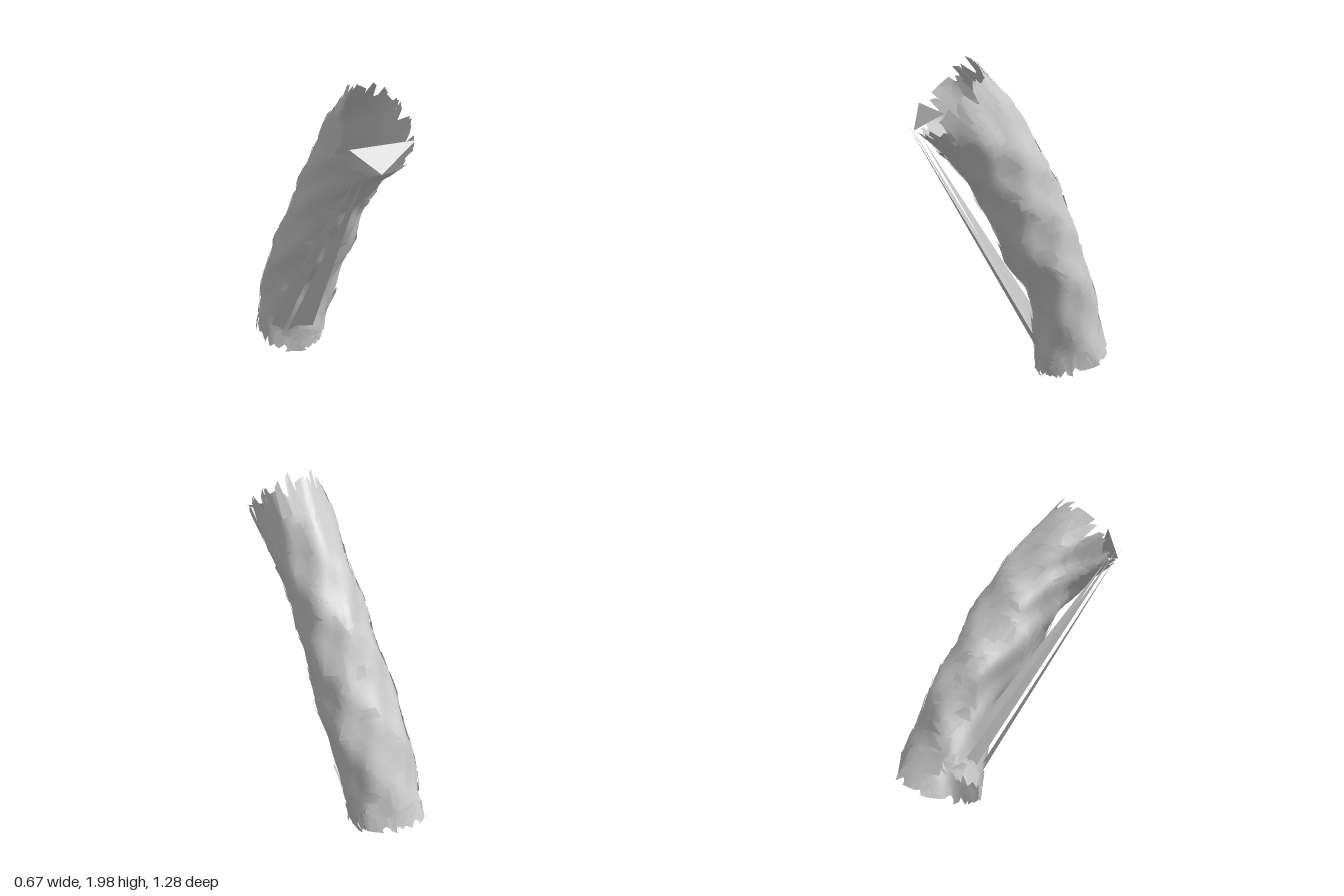
import * as THREE from 'three';

// Sections of the leaning trunk: front z, front y, back z, back y, centre x, half width
const SECTIONS = [
  [-0.19, 0.00, -0.63, 0.11, -0.12, 0.215],
  [-0.17, 0.24, -0.55, 0.37, -0.09, 0.21],
  [-0.10, 0.52, -0.47, 0.65, -0.05, 0.22],
  [0.05, 0.77, -0.37, 0.88, -0.015, 0.215],
  [0.17, 1.03, -0.25, 1.16, 0.025, 0.205],
  [0.27, 1.23, -0.13, 1.38, 0.055, 0.2],
  [0.41, 1.41, 0.03, 1.64, 0.09, 0.195],
  [0.63, 1.61, 0.31, 1.99, 0.135, 0.195],
];
const curve = (f) => new THREE.CatmullRomCurve3(SECTIONS.map(f));
const frontLine = curve((s) => new THREE.Vector3(s[4], s[1], s[0]));
const backLine = curve((s) => new THREE.Vector3(s[4], s[3], s[2]));
const widthLine = curve((s, i) => new THREE.Vector3(s[5], i, 0));

function seeded(seed) {
  return () => {
    seed = (seed * 16807) % 2147483647;
    return seed / 2147483647;
  };
}

// Point on the trunk at height t (0..1) and angle a (0 = front), pushed outward by off
function trunkPoint(t, a, off = 0) {
  t = Math.min(1, Math.max(0, t));
  const f = frontLine.getPoint(t), b = backLine.getPoint(t);
  const w = widthLine.getPoint(t).x;
  const lump = 0.012 * Math.sin(3 * a + 9 * t) * Math.sin(17 * t + a) + 0.006 * Math.sin(7 * a - 23 * t);
  const k = 1 + (lump + off) / 0.21;
  const p = f.clone().add(b).multiplyScalar(0.5);
  p.addScaledVector(f.sub(b), 0.5 * k * Math.cos(a));
  p.x += w * k * Math.sin(a);
  return p;
}

// Appends a grid of points (rows x cols quads) to the position and index lists
function addGrid(pos, idx, rows, cols, fn, closed = false) {
  const start = pos.length / 3, n = closed ? cols : cols + 1;
  for (let r = 0; r <= rows; r++)
    for (let c = 0; c < n; c++) pos.push(...fn(r / rows, c / cols, c).toArray());
  for (let r = 0; r < rows; r++)
    for (let c = 0; c < cols; c++) {
      const d = (c + 1) % n;
      const p = start + r * n + c, q = start + r * n + d;
      idx.push(p, q, q + n, p, q + n, p + n);
    }
}

function meshFrom(name, pos, idx, material) {
  const g = new THREE.BufferGeometry();
  g.setAttribute('position', new THREE.Float32BufferAttribute(pos, 3));
  g.setIndex(idx);
  g.computeVertexNormals();
  const m = new THREE.Mesh(g, material);
  m.name = name;
  return m;
}

export function createModel() {
  const group = new THREE.Group();
  group.name = 'hollowTrunk';
  const rand = seeded(4217);
  const material = new THREE.MeshStandardMaterial({ color: 0xcccccc, side: THREE.DoubleSide });

  // Hollow bark tube, open and splintered at both ends
  const cols = 44;
  const low = [], high = [];
  for (let c = 0; c < cols; c++) {
    low.push((c % 2 ? 0.02 : 0) + rand() * 0.012);
    high.push(1 - (c % 3 ? 0.02 : 0) - rand() * 0.04);
  }
  let pos = [], idx = [];
  addGrid(pos, idx, 48, cols, (v, u, c) => {
    // Only the end rows carry the splinters
    const t = v === 0 ? low[c] : v === 1 ? high[c] : 0.04 + v * 0.89;
    return trunkPoint(t, u * Math.PI * 2);
  }, true);
  group.add(meshFrom('barkTube', pos, idx, material));

  // Overlapping bark flakes: crooked patches that follow the tube
  pos = []; idx = [];
  for (let i = 0; i < 300; i++) {
    const t = rand() * 0.93 + 0.03, a = rand() * Math.PI * 2;
    const h = 0.03 + rand() * 0.06, w = 0.1 + rand() * 0.25;
    const skew = (rand() - 0.5) * 0.5, taper = rand() * 0.9;
    const off = rand() * 0.008, lift = (rand() - 0.4) * 0.014;
    addGrid(pos, idx, 3, 3, (v, u) => {
      const across = (u - 0.5) * 2 * w * (1 - taper * v);
      return trunkPoint(t + (v - 0.5) * h + (u - 0.5) * skew * 0.06, a + across + skew * v, off + lift * v);
    });
  }
  group.add(meshFrom('barkFlakes', pos, idx, material));

  // Pointed splinters standing out of both rims
  pos = []; idx = [];
  for (const top of [true, false])
    for (let i = 0; i < 20; i++) {
      const a = (i + rand() * 0.6) / 20 * Math.PI * 2;
      const w = 0.1 + rand() * 0.12, lean = (rand() - 0.5) * 0.3;
      const tip = rand() * 0.02, root = 0.08;
      const start = pos.length / 3;
      for (const [t, b] of [[root, -w], [root, w], [tip, lean + 0.07], [tip + 0.01, lean - 0.07]])
        pos.push(...trunkPoint(top ? 1 - t : t, a + b, 0.004).toArray());
      idx.push(start, start + 1, start + 2, start, start + 2, start + 3);
    }
  group.add(meshFrom('rimSplinters', pos, idx, material));

  // Long loose strips hanging from the upper lip to the foot
  pos = []; idx = [];
  const strips = [
    [[0.0, 1.63, 0.63], [-0.27, 0.18, -0.27], [-0.21, 0.15, -0.22]],
    [[0.03, 1.62, 0.64], [-0.19, 0.15, -0.2], [-0.03, 0.18, -0.18]],
    [[0.0, 1.55, 0.56], [-0.25, 0.3, -0.26], [-0.2, 0.2, -0.22]],
    // Flap across the front of the upper opening
    [[-0.03, 1.73, 0.56], [0.12, 1.61, 0.64], [0.33, 1.73, 0.54]],
  ];
  for (const tri of strips) {
    idx.push(pos.length / 3, pos.length / 3 + 1, pos.length / 3 + 2);
    pos.push(...tri.flat());
  }
  group.add(meshFrom('looseStrips', pos, idx, material));

  return group;
}
